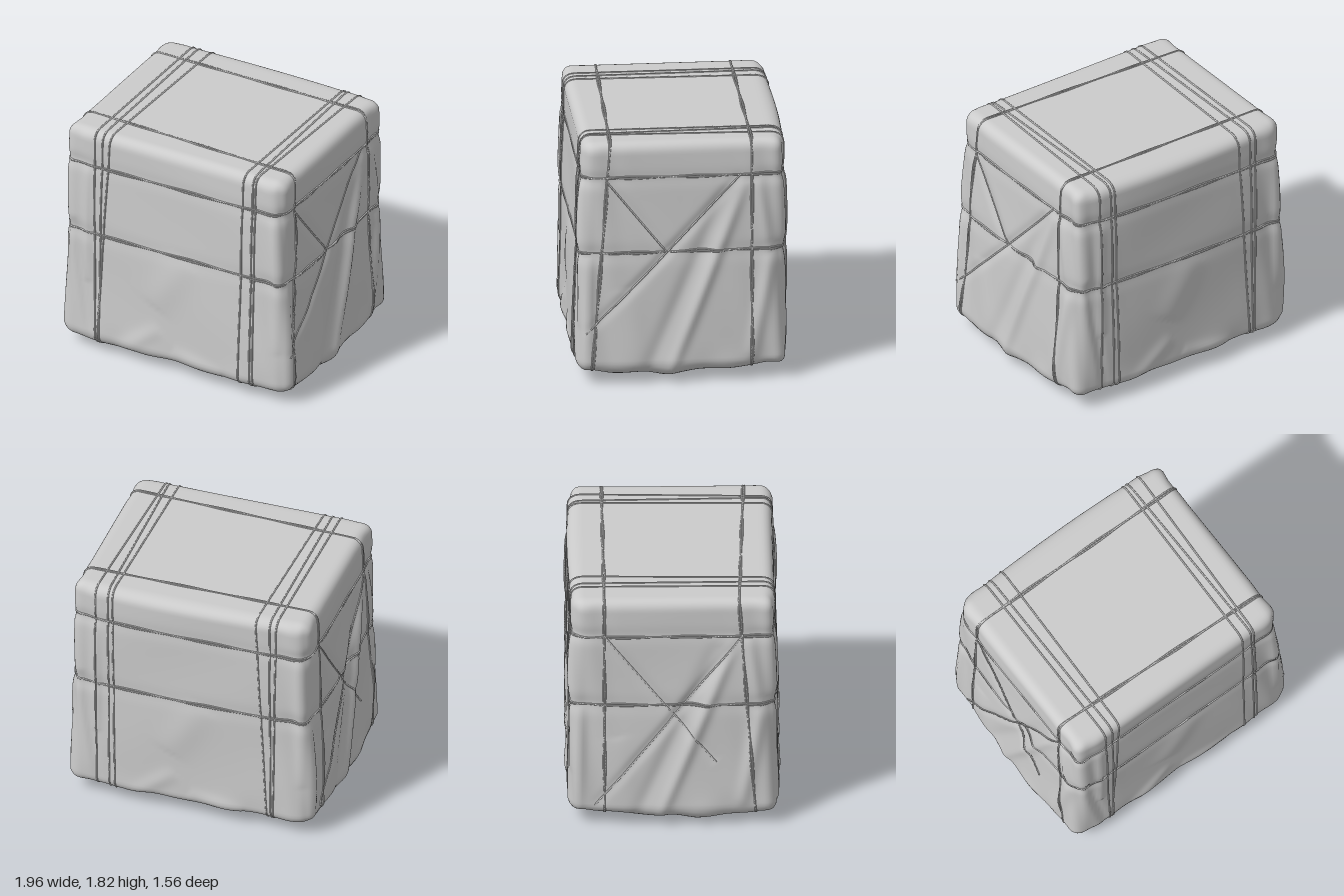
import * as THREE from 'three';
import { mergeVertices } from 'three/addons/utils/BufferGeometryUtils.js';

const H = new THREE.Vector3(0.89, 0.86, 0.725); // half size of the parcel
const MID_Y = 0.98;
const ROUND = 0.075;
const { clamp, lerp } = THREE.MathUtils;
const gauss = (d, w) => Math.exp(-((d / w) ** 2));

// Crossing ropes on the two sides: side, from and to as (z, y)
const CROSSINGS = [
  [1, [0.55, 1.56], [0.12, 1.02]],
  [1, [-0.42, 1.59], [0.67, 0.42]],
  [-1, [-0.5, 1.57], [0.3, 0.55]],
  [-1, [0.5, 1.57], [-0.55, 0.2]],
];

// Cloth folds, turned half round for the opposite face: from, to, height, width
const SIDE_FOLDS = [ // (z, y)
  [[-0.45, 1.55], [0.14, 0.0], 0.026, 0.045],
  [[-0.32, 1.5], [0.3, 0.0], -0.018, 0.06],
  [[0.66, 1.0], [0.67, 0.1], 0.02, 0.035],
  [[-0.64, 1.05], [-0.48, 0.2], 0.026, 0.05],
  [[-0.54, 1.55], [-0.62, 1.0], 0.022, 0.04],
  [[0.4, 0.75], [0.3, 0.15], 0.012, 0.09],
];
const FACE_FOLDS = [ // (x, y)
  [[-0.72, 1.55], [-0.69, 0.6], 0.02, 0.03],
  [[-0.82, 1.1], [-0.66, 0.15], -0.02, 0.03],
  [[0.83, 1.55], [0.84, 0.45], 0.016, 0.04],
  [[0.1, 1.0], [-0.15, 0.55], 0.012, 0.12],
  [[-0.45, 0.1], [-0.1, 0.38], 0.012, 0.06],
  [[0.4, 0.15], [0.0, 0.22], 0.012, 0.05],
];

// Ridge along a line, fading out at both ends
function ridge(u, v, [ax, ay], [bx, by], width) {
  const dx = bx - ax, dy = by - ay;
  const t = clamp(((u - ax) * dx + (v - ay) * dy) / (dx * dx + dy * dy), 0, 1);
  const fade = 2 * Math.sqrt(t * (1 - t));
  return fade * gauss(Math.hypot(u - ax - t * dx, v - ay - t * dy), width);
}

const foldHeight = (folds, u, v) =>
  folds.reduce((sum, [a, b, height, width]) => sum + height * ridge(u, v, a, b, width), 0);

// Moves a point of the plain box onto the rounded, flared and wrinkled parcel
function wrap(p, lift = 0) {
  const inner = p.clone();
  for (const k of ['x', 'y', 'z']) inner[k] = clamp(p[k], -(H[k] - ROUND), H[k] - ROUND);
  const n = p.clone().sub(inner).normalize();
  const q = inner.addScaledVector(n, ROUND);
  const { x, z } = q, y = q.y + MID_Y;
  const t = clamp((1.84 - y) / 1.7, 0, 1);
  const side = 1 - n.y * n.y;

  // soft cloth unevenness, pleats at the upright corners and along the hem
  const corner = gauss(Math.abs(x) - H.x, 0.22) * gauss(Math.abs(z) - H.z, 0.22);
  let d = 0.006 * side * Math.sin(4 * x + 3 * y + 1) * Math.sin(3.5 * y - 4 * z);
  d += 0.009 * side * corner * Math.sin(26 * (x * Math.sign(z) - z * Math.sign(x)) + 4 * y);
  d += 0.008 * gauss(y - 0.13, 0.12) * Math.sin(13 * x + 2 * z) * Math.sin(15 * z + 3 * x + 1);

  // pinches under the level ropes, deepest at the corners
  d -= side * (0.005 + 0.009 * corner) * (gauss(y - 1.01, 0.06) + gauss(y - 1.57, 0.05));

  // long folds on the four upright faces and grooves under the crossing ropes
  const sx = Math.sign(n.x), sz = Math.sign(n.z);
  d += Math.abs(n.x) * foldHeight(SIDE_FOLDS, z * sx, y);
  d += Math.abs(n.z) * foldHeight(FACE_FOLDS, x * sz, y);
  for (const [s, a, b] of CROSSINGS)
    d -= 0.014 * Math.max(0, n.x * s) * ridge(z, y, a, b, 0.035);

  // envelope creases underneath, running in from the four corners
  const under = Math.max(0, -n.y);
  d -= 0.022 * under * ridge(Math.abs(x), Math.abs(z), [0.95, 0.75], [0.3, -0.05], 0.05);

  // sides swell towards the base while the upright corners stay nearly plumb
  const zMid = 1 - (z / H.z) ** 2, xMid = 1 - (x / H.x) ** 2;
  const nearCorner = x > 0 && z > 0 ? 0.025 * t * (x / H.x) * (z / H.z) : 0;
  q.x = x * (1 + 0.025 * t + nearCorner) + n.x * 0.055 * t * zMid;
  q.z = z * (1 + 0.03 * t + nearCorner) + n.z * 0.02 * t * xMid;
  if (n.z < 0) q.z += n.z * 0.03 * (1 - t) * xMid;

  // sagging underside, lowest towards the right end
  const sag = Math.max(0, 1 - Math.abs(z - 0.15) / 0.75);
  q.y = y - under * sag * (0.045 + 0.05 * gauss(x + 0.58, 0.22));
  return q.addScaledVector(n, d + lift);
}

const material = new THREE.MeshStandardMaterial({ color: 0xcccccc });

function addMesh(parent, geometry, name) {
  const mesh = new THREE.Mesh(geometry, material);
  mesh.name = name;
  parent.add(mesh);
}

function addRope(parent, points, closed, name) {
  const curve = new THREE.CatmullRomCurve3(points, closed);
  addMesh(parent, new THREE.TubeGeometry(curve, points.length * 2, 0.0065, 5, closed), name);
}

// Rope loop around the parcel, crossing `axis` at c and slanting along the two other axes
function addLoop(parent, axis, c, slopeU, slopeV, name, wave = 0) {
  const [u, v] = ['x', 'y', 'z'].filter((k) => k !== axis);
  const corners = [[-1, -1], [1, -1], [1, 1], [-1, 1]];
  const points = [], steps = 36;
  corners.forEach((a, i) => {
    const b = corners[(i + 1) % 4];
    for (let j = 0; j < steps; j++) {
      const f = j / steps;
      const p = new THREE.Vector3();
      p[u] = lerp(a[0], b[0], f) * H[u];
      p[v] = lerp(a[1], b[1], f) * H[v];
      p[axis] = c + slopeU * p[u] + slopeV * p[v] + wave * Math.sin(Math.PI * 6 * f);
      points.push(wrap(p, 0.001));
    }
  });
  addRope(parent, points, true, name);
}

// Two loosely twisted strands
function addTwistedLoop(parent, axis, c, slopeU, slopeV, name) {
  for (const s of [-0.004, 0.004]) addLoop(parent, axis, c + s, slopeU, slopeV, name, s);
}

// Straight rope across one side
function addDiagonal(parent, [side, [z0, y0], [z1, y1]]) {
  const points = [];
  for (let i = 0; i <= 24; i++) {
    const f = i / 24;
    points.push(wrap(new THREE.Vector3(side * H.x, lerp(y0, y1, f) - MID_Y, lerp(z0, z1, f)), 0.001));
  }
  addRope(parent, points, false, 'diagonalRope');
}

export function createModel() {
  const model = new THREE.Group();
  model.name = 'wrappedParcel';

  // cloth-wrapped body
  let body = new THREE.BoxGeometry(H.x * 2, H.y * 2, H.z * 2, 80, 76, 66);
  body.deleteAttribute('normal');
  body.deleteAttribute('uv');
  body = mergeVertices(body, 1e-4);
  const pos = body.attributes.position;
  for (let i = 0; i < pos.count; i++) {
    const p = wrap(new THREE.Vector3().fromBufferAttribute(pos, i));
    pos.setXYZ(i, p.x, p.y, p.z);
  }
  body.computeVertexNormals();
  addMesh(model, body, 'clothBody');

  const ropes = new THREE.Group();
  ropes.name = 'ropes';
  model.add(ropes);

  // level ropes all round
  addTwistedLoop(ropes, 'y', 1.57 - MID_Y, 0.015, 0, 'levelRope');
  addTwistedLoop(ropes, 'y', 1.015 - MID_Y, 0.005, 0, 'levelRope');

  // upright ropes over the front, top and back
  const upright = [[-0.64, -0.02, 0], [-0.6, 0, 0.01], [-0.555, 0.045, -0.02],
    [0.56, 0.025, -0.01], [0.62, 0.02, 0.02], [0.68, 0.02, -0.03]];
  for (const [x, slopeY, slopeZ] of upright) addLoop(ropes, 'x', x, slopeY, slopeZ, 'uprightRope');

  // upright ropes over the sides and top
  addTwistedLoop(ropes, 'z', 0.55, 0.03, -0.06, 'sideRope');
  addTwistedLoop(ropes, 'z', -0.49, 0, -0.01, 'sideRope');

  // crossing ropes on the two sides
  for (const crossing of CROSSINGS) addDiagonal(ropes, crossing);
  return model;
}
